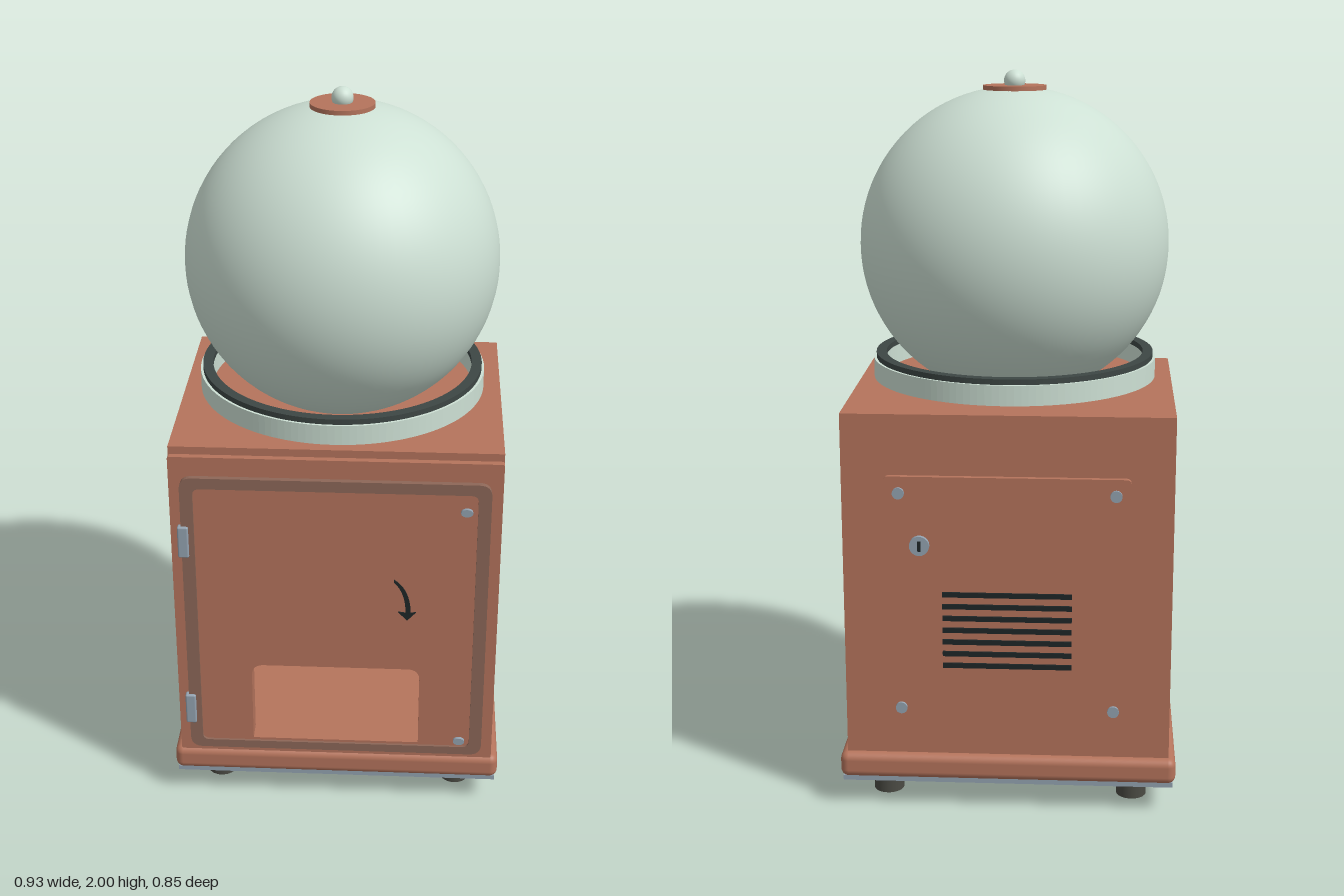
import * as THREE from 'three';
import { RoundedBoxGeometry } from 'three/addons/geometries/RoundedBoxGeometry.js';

const mat = (name, color, side = THREE.FrontSide) => {
  const m = new THREE.MeshStandardMaterial({ color, side });
  m.name = name;
  return m;
};

// Rounded rectangle, usable as shape or hole; rb is the lower corner radius
function roundRect(p, x0, y0, x1, y1, r, rb = r) {
  p.moveTo(x0 + rb, y0);
  p.lineTo(x1 - rb, y0);
  if (rb) p.quadraticCurveTo(x1, y0, x1, y0 + rb);
  p.lineTo(x1, y1 - r);
  p.quadraticCurveTo(x1, y1, x1 - r, y1);
  p.lineTo(x0 + r, y1);
  p.quadraticCurveTo(x0, y1, x0, y1 - r);
  p.lineTo(x0, y0 + rb);
  if (rb) p.quadraticCurveTo(x0, y0, x0 + rb, y0);
  return p;
}

export function createModel() {
  const group = new THREE.Group();
  const paint = mat('terracottaPaint', 0xb5745c);
  const gasket = mat('brownGasket', 0x8d6758);
  const glass = mat('paleGreenGlass', 0xcde0d4);
  const trim = mat('darkTrim', 0x3d4644);
  const steel = mat('blueGreySteel', 0x94a3b1);
  const rubber = mat('darkRubber', 0x4a4a43);
  const black = mat('black', 0x1e2627, THREE.DoubleSide);

  const add = (name, geo, material, x = 0, y = 0, z = 0) => {
    const m = new THREE.Mesh(geo, material);
    m.name = name;
    m.position.set(x, y, z);
    group.add(m);
    return m;
  };
  // Box given by its two corners
  const span = (name, material, x0, x1, y0, y1, z0, z1) =>
    add(name, new THREE.BoxGeometry(x1 - x0, y1 - y0, z1 - z0), material,
      (x0 + x1) / 2, (y0 + y1) / 2, (z0 + z1) / 2);
  const plate = (name, shape, depth, material, z) =>
    add(name, new THREE.ExtrudeGeometry(shape, { depth, bevelEnabled: false, curveSegments: 8 }), material, 0, 0, z);
  // Short cylinder with its axis along z
  const disc = (name, r, depth, material, x, y, z) =>
    add(name, new THREE.CylinderGeometry(r, r, depth, 24).rotateX(Math.PI / 2), material, x, y, z);

  // Feet, bottom plate and rounded plinth
  for (const x of [-0.345, 0.345])
    for (const z of [-0.26, 0.26])
      add('foot', new THREE.CylinderGeometry(0.042, 0.042, 0.08, 32), rubber, x, 0.04, z);
  add('bottomPlate', new THREE.BoxGeometry(0.915, 0.014, 0.755), steel, 0, 0.082, 0);
  add('plinth', new RoundedBoxGeometry(0.93, 0.073, 0.774, 4, 0.022), paint, 0, 0.1215, 0);

  // Hollow cabinet: side walls stop short of the front, leaving a slit
  for (const s of [-1, 1]) {
    const x = s * 0.435;
    span('sideWall', paint, x - 0.01, x + 0.01, 0.155, 1.08, -0.365, 0.308);
  }
  span('backWall', paint, -0.445, 0.445, 0.155, 1.08, -0.365, -0.345);
  span('roof', paint, -0.445, 0.445, 1.08, 1.127, -0.365, 0.362);

  // Front wall and door share the dispensing opening
  const opening = () => roundRect(new THREE.Path(), -0.235, 0.207, 0.235, 0.457, 0.035, 0);
  const wall = roundRect(new THREE.Shape(), -0.445, 0.155, 0.445, 1.105, 0.006);
  wall.holes.push(opening());
  plate('frontWall', wall, 0.05, paint, 0.33);
  const door = roundRect(new THREE.Shape(), -0.38, 0.2, 0.38, 1.018, 0.02);
  door.holes.push(opening());
  plate('doorPanel', door, 0.008, paint, 0.38);
  const frame = roundRect(new THREE.Shape(), -0.415, 0.175, 0.415, 1.05, 0.035);
  frame.holes.push(roundRect(new THREE.Path(), -0.38, 0.2, 0.38, 1.018, 0.02));
  plate('doorFrame', frame, 0.015, gasket, 0.38);

  // Hinges and door latches
  for (const y of [0.855, 0.308])
    add('hinge', new RoundedBoxGeometry(0.03, 0.095, 0.022, 2, 0.005), steel, -0.41, y, 0.391);
  for (const y of [0.977, 0.235])
    disc('doorLatch', 0.016, 0.009, steel, 0.35, y, 0.413).scale.y = 0.7;

  // Curved arrow on the door
  const arrow = new THREE.Shape();
  arrow.moveTo(0.16, 0.75);
  arrow.quadraticCurveTo(0.205, 0.72, 0.207, 0.645);
  arrow.lineTo(0.222, 0.648);
  arrow.lineTo(0.197, 0.62);
  arrow.lineTo(0.172, 0.648);
  arrow.lineTo(0.193, 0.645);
  arrow.quadraticCurveTo(0.192, 0.71, 0.16, 0.742);
  plate('arrow', arrow, 0.003, black, 0.388);

  // Side vent slots
  for (let i = 0; i < 5; i++)
    span('sideVent', black, 0.443, 0.45, 0.25 + i * 0.0255, 0.259 + i * 0.0255, -0.195, -0.055);

  // Rear service panel with screws, lock and vents
  plate('rearPanel', roundRect(new THREE.Shape(), -0.33, 0.25, 0.33, 0.96, 0.015), 0.015, paint, -0.38);
  for (const x of [-0.29, 0.29])
    for (const y of [0.3, 0.915])
      disc('rearScrew', 0.016, 0.01, steel, x, y, -0.383);
  disc('lock', 0.027, 0.014, steel, 0.235, 0.77, -0.385);
  span('keyhole', black, 0.231, 0.239, 0.756, 0.784, -0.396, -0.39);
  for (let i = 0; i < 7; i++)
    span('rearVent', black, -0.175, 0.175, 0.42 + i * 0.034, 0.434 + i * 0.034, -0.385, -0.379);

  // Globe collar with dark lip
  const ring = (name, r0, r1, y0, y1, material) => add(name, new THREE.ExtrudeGeometry(
    (() => {
      const s = new THREE.Shape().absarc(0, 0, r1, 0, Math.PI * 2);
      s.holes.push(new THREE.Path().absarc(0, 0, r0, 0, Math.PI * 2, true));
      return s;
    })(), { depth: y1 - y0, bevelEnabled: false, curveSegments: 64 }).rotateX(-Math.PI / 2), material, 0, y0, 0);
  ring('collar', 0.362, 0.395, 1.16, 1.215, glass);
  ring('collarLip', 0.36, 0.388, 1.215, 1.23, trim);

  // Globe, cap and knob
  add('globe', new THREE.SphereGeometry(0.426, 64, 48), glass, 0, 1.53, 0);
  add('cap', new THREE.CylinderGeometry(0.086, 0.086, 0.014, 48), paint, 0, 1.952, 0);
  add('knob', new THREE.SphereGeometry(0.029, 24, 16), glass, 0, 1.971, 0);

  return group;
}
